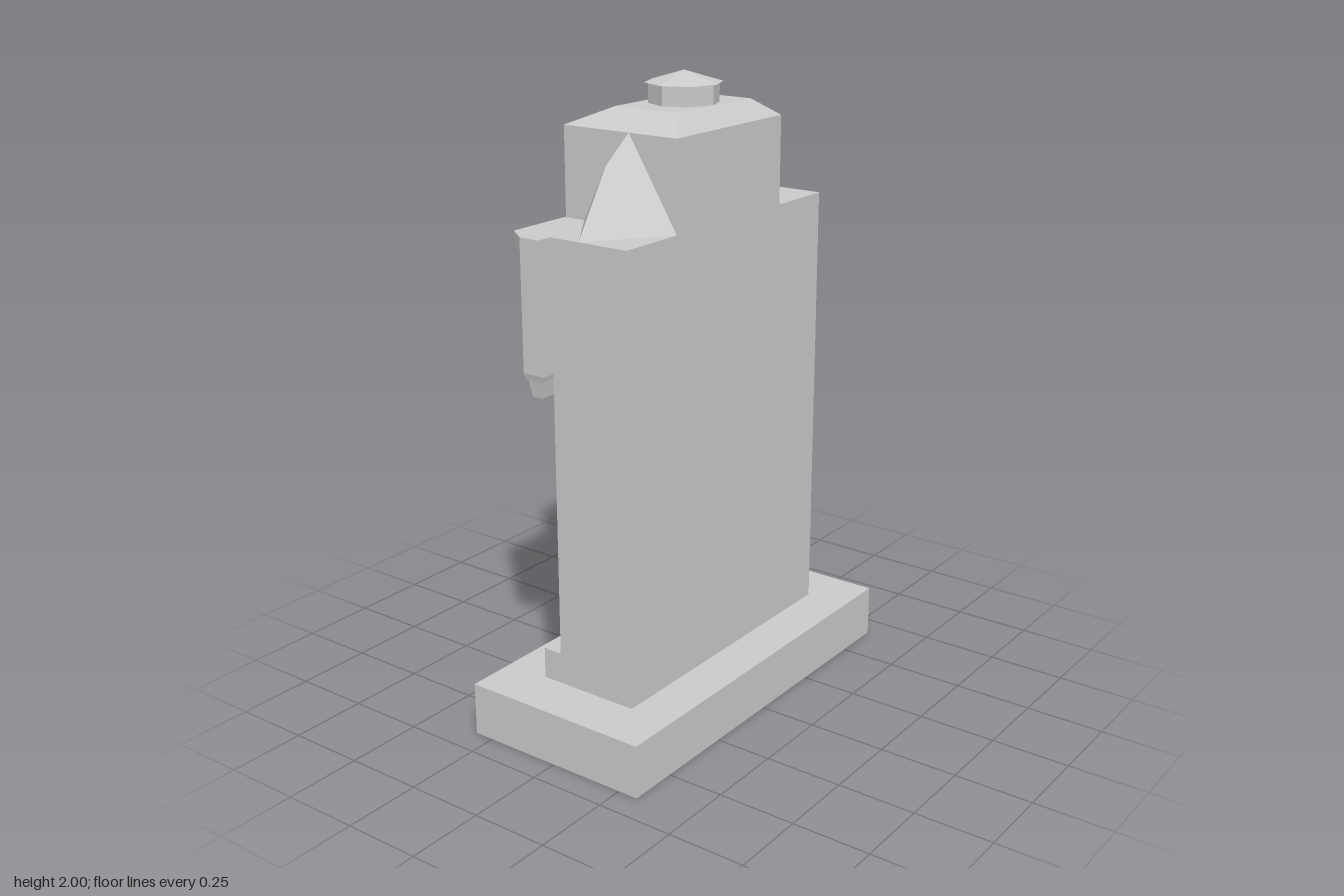
import * as THREE from 'three';
import { ConvexGeometry } from 'three/addons/geometries/ConvexGeometry.js';

const stone = new THREE.MeshStandardMaterial({ color: 0xcccccc, flatShading: true });
const thin = new THREE.MeshStandardMaterial({ color: 0xcccccc, flatShading: true, side: THREE.DoubleSide });
const V = (x, y, z) => new THREE.Vector3(x, y, z);
const P = (x, y) => new THREE.Vector2(x, y);

export function createModel() {
  const model = new THREE.Group();
  const add = (name, geo, mat = stone) => {
    const m = new THREE.Mesh(geo, mat);
    m.name = name;
    model.add(m);
    return m;
  };

  // Box between two corners
  const box = (name, x0, x1, y0, y1, z0, z1) =>
    add(name, new THREE.BoxGeometry(x1 - x0, y1 - y0, z1 - z0)
      .translate((x0 + x1) / 2, (y0 + y1) / 2, (z0 + z1) / 2));

  // Box whose top and bottom are different rectangles [x0, x1, z0, z1]
  const frustum = (name, bottom, y0, top, y1) => {
    const g = new THREE.BoxGeometry(1, 1, 1), p = g.attributes.position;
    for (let i = 0; i < p.count; i++) {
      const up = p.getY(i) > 0, r = up ? top : bottom;
      p.setXYZ(i, p.getX(i) < 0 ? r[0] : r[1], up ? y1 : y0, p.getZ(i) < 0 ? r[2] : r[3]);
    }
    g.computeVertexNormals();
    return add(name, g);
  };

  // Flat outline with holes, extruded from z0 to z1
  const slab = (name, pts, holes, z0, z1) => {
    const s = new THREE.Shape(pts);
    s.holes = holes.map((h) => new THREE.Path(h));
    return add(name, new THREE.ExtrudeGeometry(s, { depth: z1 - z0, bevelEnabled: false }).translate(0, 0, z0));
  };

  // Half circle of points running from +x over the top to -x
  const arch = (cx, cy, r, n = 10) => Array.from({ length: n + 1 }, (_, i) => {
    const a = (i / n) * Math.PI;
    return P(cx + r * Math.cos(a), cy + r * Math.sin(a));
  });

  const ARCH_X = 0.215, SPRING = 1.25;
  const twinArch = (r) => [...arch(ARCH_X, SPRING, r), ...arch(-ARCH_X, SPRING, r)];

  // Jagged carved stripe
  const teeth = [0.2, 1, -0.6, 0.5, -0.9, 0.8, 0.1, -0.7, 0.9, -0.3, 0.6, -1, 0.4, -0.4];
  const stripe = (x0, x1, y, thick, amp, n, shift) => {
    const upper = [], lower = [];
    for (let i = 0; i <= n; i++) {
      const x = x0 + ((x1 - x0) * i) / n;
      const dy = amp * teeth[(i + shift) % teeth.length];
      upper.push(P(x, y + dy + thick / 2));
      lower.unshift(P(x + 0.008, y + dy - thick / 2));
    }
    return [...upper, ...lower];
  };

  // Plinth and corner feet
  box('plinth', -0.66, 0.66, 0, 0.17, -0.315, 0.315);
  box('leftFoot', 0.26, 0.495, 0.17, 0.27, -0.17, -0.1);
  box('rightFoot', -0.495, -0.26, 0.17, 0.27, -0.17, -0.1);

  // Stone body in layers: solid, carved panel, and rim around the panel
  const body = [P(-0.495, 0.17), P(0.495, 0.17), P(0.495, 1.575), P(0.265, 1.575),
    P(0.265, 1.85), P(-0.265, 1.85), P(-0.265, 1.575), P(-0.495, 1.575)];
  const carving = [
    stripe(-0.29, 0.28, 0.9, 0.036, 0.025, 12, 0),
    stripe(-0.31, 0.16, 0.81, 0.032, 0.024, 10, 3),
    stripe(-0.26, 0.28, 0.645, 0.036, 0.025, 12, 6),
    stripe(-0.29, 0.27, 0.555, 0.032, 0.024, 11, 1),
  ];
  const nicheCarving = [stripe(-0.085, 0.085, 1.64, 0.03, 0.03, 5, 2), stripe(-0.08, 0.07, 1.56, 0.025, 0.025, 5, 5)];
  const panel = (w, bottom) => [P(-w, bottom), P(w, bottom), ...twinArch(w - ARCH_X)];
  const outer = panel(0.365, 0.36), inner = panel(0.325, 0.395);
  slab('stoneBody', body, [], -0.015, 0.17);
  slab('carvedPanel', body, carving, -0.04, -0.015);
  slab('panelRim', body, [outer, ...nicheCarving], -0.105, -0.04);

  // Sloped bevel from the rim into the panel
  const pos = [], index = [], n = outer.length;
  for (let i = 0; i < n; i++) {
    pos.push(outer[i].x, outer[i].y, -0.105, inner[i].x, inner[i].y, -0.04);
    const a = 2 * i, b = 2 * ((i + 1) % n);
    index.push(a, b, a + 1, b, b + 1, a + 1);
  }
  const bevel = new THREE.BufferGeometry();
  bevel.setAttribute('position', new THREE.Float32BufferAttribute(pos, 3));
  bevel.setIndex(index);
  bevel.computeVertexNormals();
  add('panelBevel', bevel, thin);

  // Arcaded canopy in two stepped layers with a round-headed niche
  const canopy = (r, x) => [
    P(-0.545, 1.17), P(-0.545, 1.575), P(-x, 1.575), P(-x, 1.85), P(x, 1.85), P(x, 1.575),
    P(0.545, 1.575), P(0.545, 1.17), P(0.4, 1.17), P(0.4, 1.21),
    ...arch(ARCH_X, SPRING, r), P(ARCH_X - r, 1.17), P(r - ARCH_X, 1.17),
    ...arch(-ARCH_X, SPRING, r), P(-0.4, 1.21), P(-0.4, 1.17),
  ];
  const niche = (r) => [...arch(0, 1.6, r), P(-r, 1.51), P(-r * 0.4, 1.45), P(r * 0.4, 1.45), P(r, 1.51)];
  slab('canopyBack', canopy(0.14, 0.265), [niche(0.12)], -0.14, -0.105);
  slab('canopyFace', canopy(0.162, 0.265), [niche(0.145)], -0.175, -0.14);

  // Stepped frame around the raised centre
  const frame = (w, z) => slab('centreFrame', [
    P(-0.265, 1.515), P(-0.265 + w, 1.515), P(-0.265 + w, 1.85 - w), P(0.265 - w, 1.85 - w),
    P(0.265 - w, 1.515), P(0.265, 1.515), P(0.265, 1.85), P(-0.265, 1.85)], [], z, -0.17);
  frame(0.025, -0.24);
  frame(0.045, -0.215);
  frame(0.065, -0.195);

  for (const s of [1, -1]) {
    const side = s > 0 ? 'left' : 'right';
    // Shoulder cornice with chamfered corner and underside
    const plan = (y, e) => [[0.265, -0.105], [0.545, -0.105], [0.545, -0.175], [0.49, e], [0.265, e]]
      .map(([x, z]) => V(s * x, y, z));
    add(side + 'Cornice', new ConvexGeometry([...plan(1.575, -0.245), ...plan(1.545, -0.245), ...plan(1.515, -0.22)]));

    // Faceted shoulder roof
    add(side + 'ShoulderRoof', new ConvexGeometry([
      V(s * 0.495, 1.575, 0), V(s * 0.37, 1.77, 0), V(s * 0.265, 1.85, 0),
      V(s * 0.265, 1.575, 0.17), V(s * 0.265, 1.575, -0.17)]));
  }

  // Hanging pendants under the canopy columns
  const pendant = (name, cx, w, z0, z1) => {
    const r = (e) => [cx - w + e, cx + w - e, z0 + e, z1 - e];
    frustum(name + 'Collar', r(0.003), 1.155, r(-0.002), 1.175);
    frustum(name + 'Body', r(0.016), 1.1, r(0.008), 1.155);
    frustum(name + 'Tip', r(0.026), 1.08, r(0.018), 1.1);
  };
  pendant('leftPendant', 0.473, 0.072, -0.173, -0.107);
  pendant('rightPendant', -0.473, 0.072, -0.173, -0.107);
  pendant('centrePendant', 0, 0.066, -0.173, -0.045);
  box('centreColumn', -0.06, 0.06, 1.17, 1.3, -0.14, -0.04);

  // Sloped cap and octagonal finial
  frustum('cap', [-0.265, 0.265, -0.24, 0.17], 1.85, [-0.18, 0.18, -0.115, 0.115], 1.905);
  add('finialNeck', new THREE.CylinderGeometry(0.107, 0.107, 0.062, 8).translate(0, 1.935, 0));
  add('finialRoof', new THREE.ConeGeometry(0.118, 0.035, 8).translate(0, 1.9825, 0));
  return model;
}
